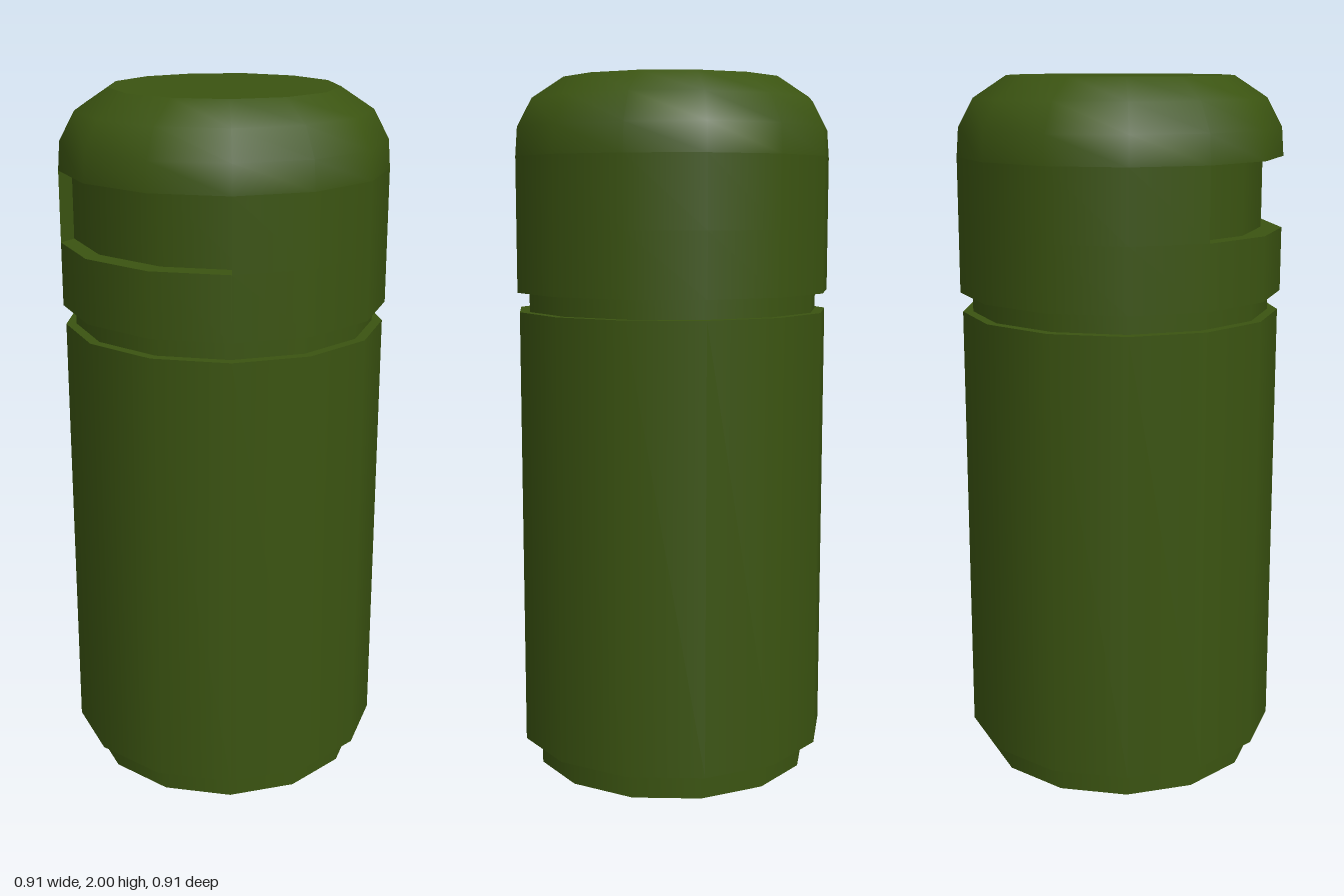
import * as THREE from 'three';
import { mergeGeometries } from 'three/addons/utils/BufferGeometryUtils.js';

const SIDES = 13;
const STEP = (Math.PI * 2) / SIDES;
const START = Math.PI / 2; // one corner lies on +x
const material = new THREE.MeshStandardMaterial({ color: 0x3b5411 });

// Smooth surface of revolution, optionally only some of the sides
function lathe(profile, sides = SIDES, start = START) {
  const points = profile.map(([r, y]) => new THREE.Vector2(r, y));
  return new THREE.LatheGeometry(points, sides, start, sides * STEP);
}

// Surface of revolution with a sharp edge at every profile point
function sharpLathe(profile) {
  return mergeGeometries(profile.slice(1).map((p, i) => lathe([profile[i], p])));
}

// Flat quads, each given by four corners counter-clockwise from its front
function quads(list) {
  const positions = list.flatMap(([a, b, c, d]) => [a, b, c, a, c, d].flat());
  const geometry = new THREE.BufferGeometry();
  geometry.setAttribute('position', new THREE.Float32BufferAttribute(positions, 3));
  geometry.computeVertexNormals();
  return geometry;
}

function part(name, geometry) {
  const mesh = new THREE.Mesh(geometry, material);
  mesh.name = name;
  return mesh;
}

function createLid() {
  const R = 0.46, low = 1.58, high = 1.78, depth = 0.06;
  const slotSides = 3, slotStart = START - 5 * STEP;
  const lid = new THREE.Group();
  lid.name = 'lid';

  // Outer shell, with a gap for the slot in the middle band
  lid.add(part('lidRim', sharpLathe([[0.42, 1.4], [R, 1.4], [R, low]])));
  lid.add(part('lidBand', lathe([[R, low], [R, high]], SIDES - slotSides, slotStart + slotSides * STEP)));
  lid.add(part('lidShoulder', lathe([[R, high], [0.454, 1.86], [0.411, 1.94], [0.319, 2]])));
  lid.add(part('lidTop', lathe([[0.319, 2], [0, 2]])));

  // Slot floor: the missing faces set straight back
  const floor = lathe([[R, low], [R, high]], slotSides, slotStart);
  floor.translate(0, 0, -depth);
  lid.add(part('slotFloor', floor));

  // Slot ledges and end walls
  const corner = (i, y, back) => {
    const a = slotStart + i * STEP;
    return [R * Math.sin(a), y, R * Math.cos(a) - back];
  };
  const faces = [];
  for (let i = 0; i < slotSides; i++) {
    faces.push([corner(i, low, 0), corner(i + 1, low, 0), corner(i + 1, low, depth), corner(i, low, depth)]);
    faces.push([corner(i, high, depth), corner(i + 1, high, depth), corner(i + 1, high, 0), corner(i, high, 0)]);
  }
  const n = slotSides;
  faces.push([corner(0, low, 0), corner(0, low, depth), corner(0, high, depth), corner(0, high, 0)]);
  faces.push([corner(n, low, depth), corner(n, low, 0), corner(n, high, 0), corner(n, high, depth)]);
  lid.add(part('slotWalls', quads(faces)));
  return lid;
}

export function createModel() {
  const model = new THREE.Group();
  model.name = 'canister';
  model.add(part('base', sharpLathe([[0, 0], [0.405, 0], [0.405, 0.08]])));
  model.add(part('body', sharpLathe([[0.405, 0.08], [0.454, 0.08], [0.454, 1.345], [0.425, 1.345]])));
  model.add(part('neck', lathe([[0.425, 1.345], [0.425, 1.4]])));
  model.add(createLid());
  model.position.x = -0.0067; // centre the odd-sided outline
  return model;
}
